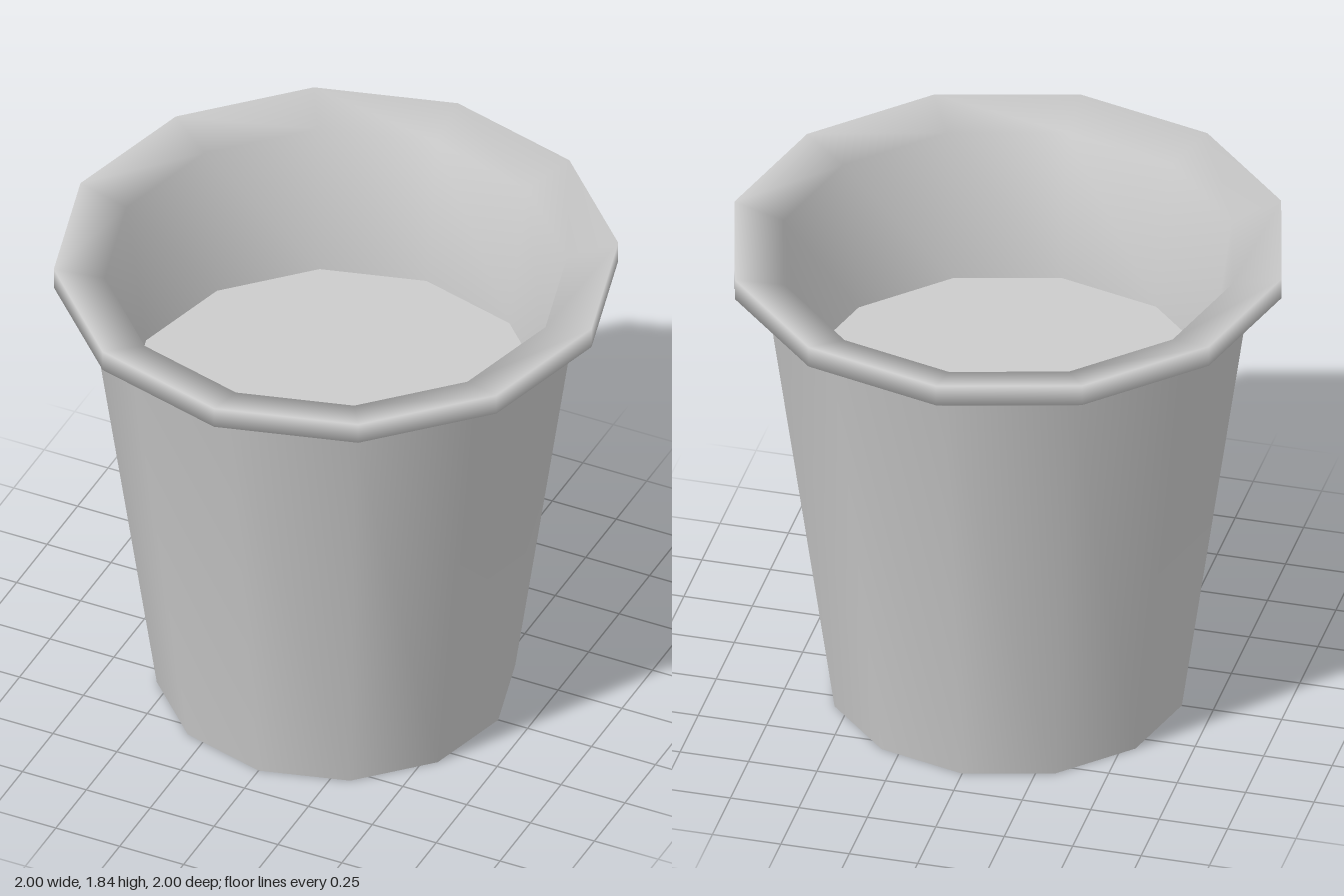
import * as THREE from 'three';

const SIDES = 12;

export function createModel() {
  const model = new THREE.Group();
  model.name = 'plantPot';
  const material = new THREE.MeshStandardMaterial({ color: 0xcccccc });

  const add = (name, geometry) => {
    const mesh = new THREE.Mesh(geometry, material);
    mesh.name = name;
    model.add(mesh);
    return mesh;
  };

  // Tapered wall: up the outside, over the flared rim, down the inside
  const profile = [
    [0.635, 0], [0.873, 1.68], [1, 1.76], [1, 1.84], [0.82, 1.79], [0.743, 1.23],
  ].map(([r, y]) => new THREE.Vector2(r, y));
  add('potWall', new THREE.LatheGeometry(profile, SIDES));

  // Closed underside
  add('base', new THREE.CircleGeometry(0.635, SIDES).rotateX(Math.PI / 2));

  // Flat fill inside the pot
  const soil = add('soil', new THREE.CircleGeometry(0.743, SIDES).rotateX(-Math.PI / 2));
  soil.position.y = 1.23;

  return model;
}
